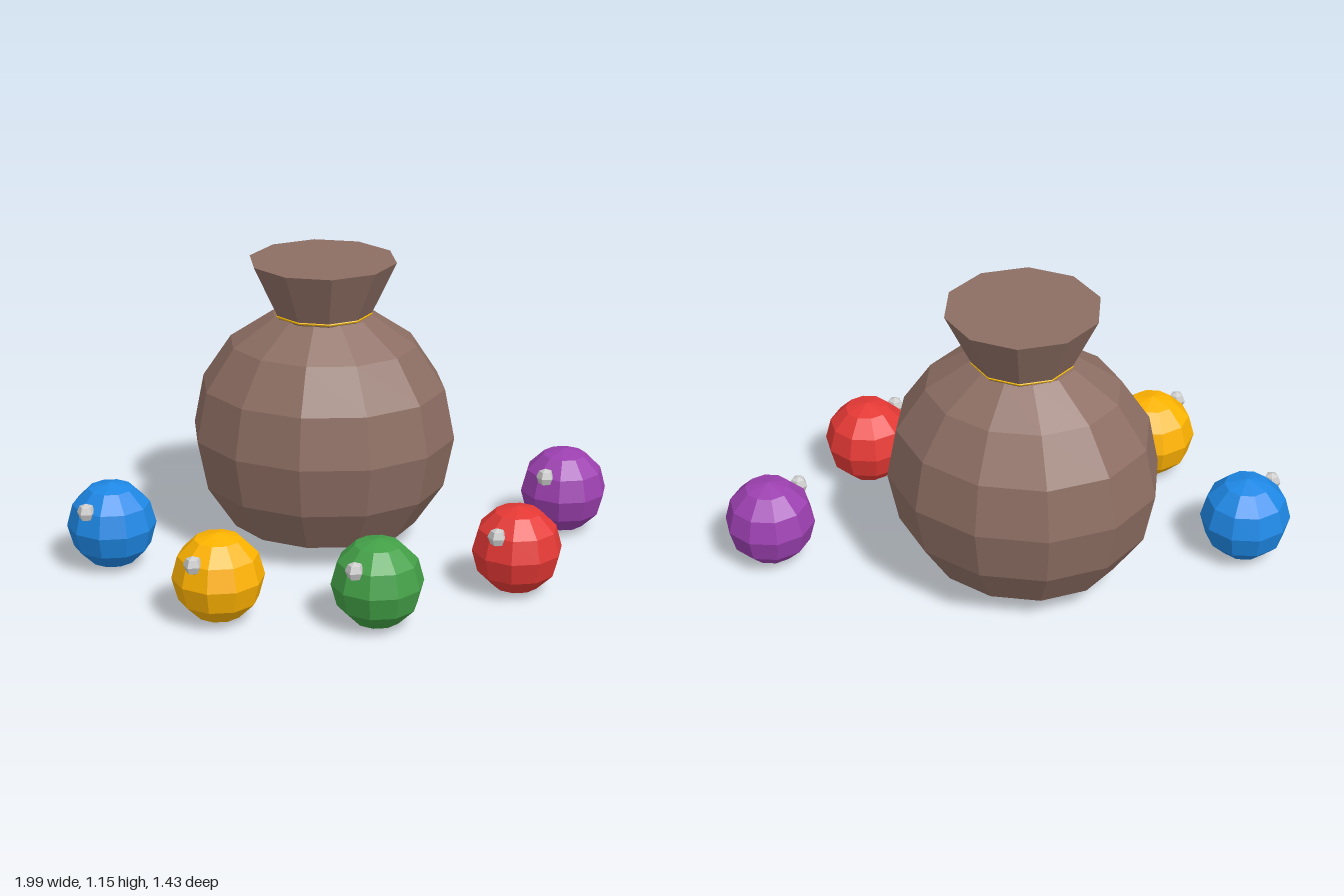
import * as THREE from 'three';

const mat = (color) => new THREE.MeshStandardMaterial({ color, flatShading: true });

function addMesh(parent, name, geometry, material, x = 0, y = 0, z = 0) {
  const mesh = new THREE.Mesh(geometry, material);
  mesh.name = name;
  mesh.position.set(x, y, z);
  parent.add(mesh);
  return mesh;
}

// Faceted sack body: a sphere with its underside pressed flat
function sackBodyGeometry() {
  const g = new THREE.SphereGeometry(1, 12, 8);
  const p = g.attributes.position;
  for (let i = 0; i < p.count; i++) p.setY(i, Math.max(p.getY(i), -0.8));
  g.scale(0.516, 0.516, 0.459);
  g.computeVertexNormals();
  return g;
}

function createSack() {
  const sack = new THREE.Group();
  sack.name = 'sack';
  sack.position.set(-0.088, 0, -0.26);
  const cloth = mat(0x8d6e63);
  addMesh(sack, 'sackBody', sackBodyGeometry(), cloth, 0, 0.465, 0);

  // Gathered neck flaring to a closed top
  const neck = new THREE.CylinderGeometry(0.285, 0.184, 0.215, 10).rotateY(Math.PI / 2);
  addMesh(sack, 'sackNeck', neck, cloth, 0, 1.0475, 0);

  // Thin gold cord around the neck
  const cord = new THREE.TorusGeometry(0.186, 0.007, 6, 10).rotateX(Math.PI / 2);
  addMesh(sack, 'neckCord', cord, mat(0xffc107), 0, 0.952, 0);
  return sack;
}

export function createModel() {
  const model = new THREE.Group();
  model.name = 'sackWithBalls';
  model.add(createSack());

  // Coloured balls, each with a small pale glint on its upper front
  const ballGeometry = new THREE.SphereGeometry(0.171, 10, 6).rotateY(Math.PI / 2);
  const glintGeometry = new THREE.SphereGeometry(0.036, 5, 4);
  const glintMaterial = mat(0xcccccc);
  const balls = [
    ['blue', 0x1e88e5, -0.836, 0.143],
    ['yellow', 0xffb300, -0.318, 0.545],
    ['green', 0x43a047, 0.259, 0.487],
    ['red', 0xe53935, 0.718, 0.086],
    ['purple', 0x9c40b0, 0.831, -0.548],
  ];
  for (const [name, color, x, z] of balls) {
    const ball = new THREE.Group();
    ball.name = `${name}BallGroup`;
    ball.position.set(x, 0.176, z);
    addMesh(ball, `${name}Ball`, ballGeometry, mat(color));
    addMesh(ball, `${name}Glint`, glintGeometry, glintMaterial, -0.06, 0.092, 0.13);
    model.add(ball);
  }
  return model;
}
